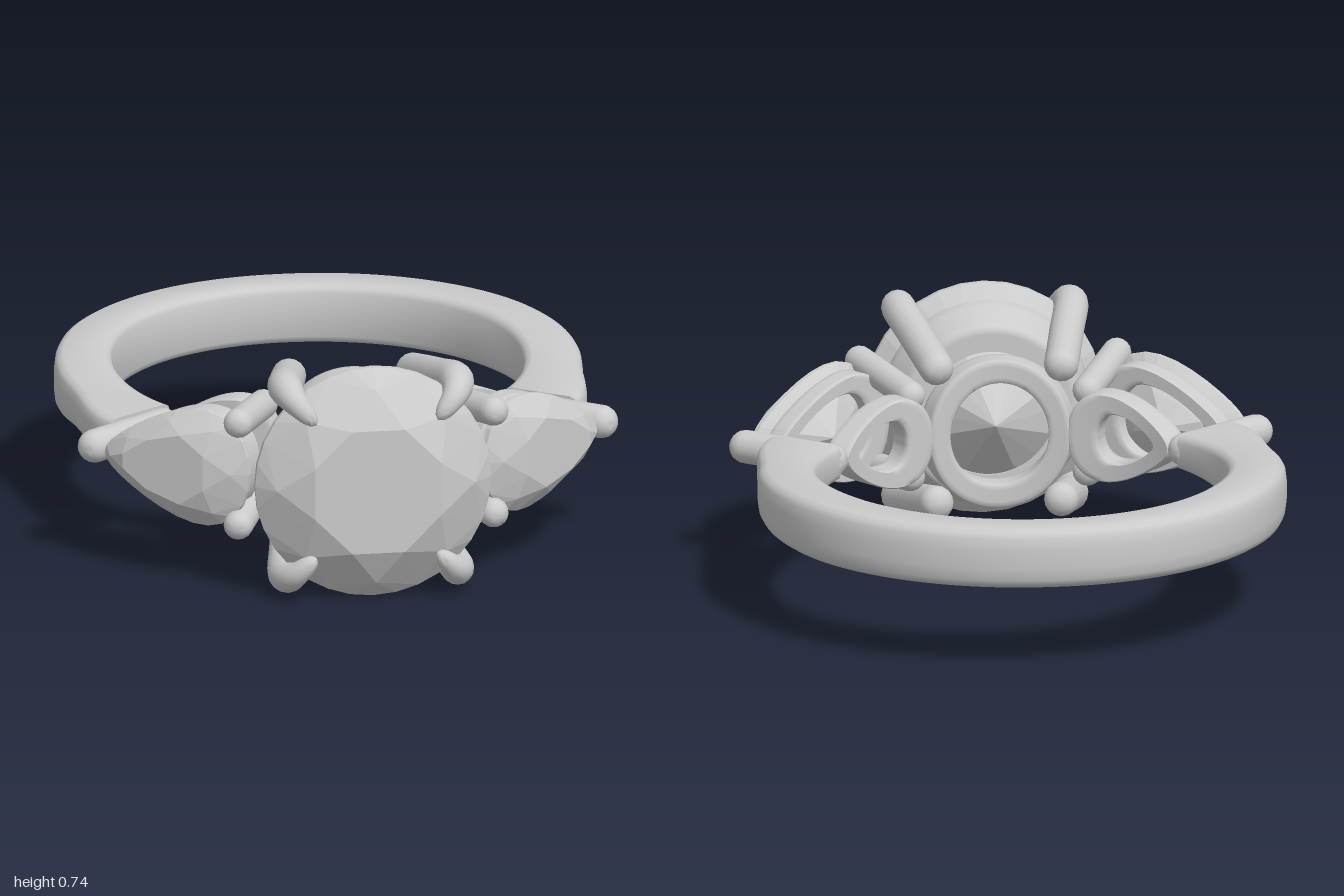
import * as THREE from 'three';
import { toCreasedNormals } from 'three/addons/utils/BufferGeometryUtils.js';
import { ConvexGeometry } from 'three/addons/geometries/ConvexGeometry.js';

const MID_Y = 0.375, FINGER_Z = -0.197, INNER_R = 0.638;
const metal = new THREE.MeshStandardMaterial({ color: 0xcccccc });
const gem = new THREE.MeshStandardMaterial({ color: 0xcccccc, flatShading: true });
const rad = THREE.MathUtils.degToRad;
const smooth = THREE.MathUtils.smoothstep;

function add(parent, name, geometry, material = metal) {
  const mesh = new THREE.Mesh(geometry, material);
  mesh.name = name;
  parent.add(mesh);
  return mesh;
}

// Skin over a list of equal cross-sections, either joined in a loop or capped
function loft(rows, loop) {
  const n = rows[0].length, m = rows.length, index = [];
  for (let i = 0; i < (loop ? m : m - 1); i++) {
    for (let j = 0; j < n; j++) {
      const i2 = (i + 1) % m, j2 = (j + 1) % n;
      const a = i * n + j, b = i2 * n + j, c = i2 * n + j2, d = i * n + j2;
      index.push(a, b, c, a, c, d);
    }
  }
  if (!loop) {
    const e = (m - 1) * n;
    for (let k = 1; k < n - 1; k++) index.push(0, k, k + 1, e, e + k + 1, e + k);
  }
  const g = new THREE.BufferGeometry();
  g.setAttribute('position', new THREE.Float32BufferAttribute(rows.flat(2), 3));
  g.setIndex(index);
  return toCreasedNormals(g, rad(50));
}

// Outlines of the round and the pear-shaped stone
const round = t => [0.37 * Math.cos(t), 0.37 * Math.sin(t)];
const pear = t => [0.255 * Math.cos(t) - 0.045, 0.172 * Math.sin(t) * (1 - 0.45 * Math.cos(t))];

// Faceted stone: the hull of scaled outline rings [scale, height, count, phase]
function stone(outline, rings) {
  const points = [];
  for (const [s, h, n, phase] of rings) {
    for (let i = 0; i < n; i++) {
      const [x, y] = outline((i + phase) / n * Math.PI * 2);
      points.push(new THREE.Vector3(x * s, y * s, h));
    }
  }
  return new ConvexGeometry(points);
}

// Bevelled rail following an outline; bend wraps it around the finger hole
function rail(outline, section, bend = false) {
  const profile = [];
  section.forEach((p, i) => {
    const prev = section[(i + 3) % 4], next = section[(i + 1) % 4];
    for (const [q, k] of [[prev, 0.25], [prev, 0.07], [next, 0.07], [next, 0.25]]) {
      profile.push([p[0] + (q[0] - p[0]) * k, p[1] + (q[1] - p[1]) * k]);
    }
  });
  const rows = [];
  for (let i = 0; i < 72; i++) {
    const [ox, oy] = outline(i / 72 * Math.PI * 2);
    rows.push(profile.map(([s, h]) => {
      const a = ox * s / 0.68;
      return bend ? [h * Math.sin(a), oy * s, h * Math.cos(a)] : [ox * s, oy * s, h];
    }));
  }
  return loft(rows, true);
}
const box = (inner, outer, low, high) => [[outer, low], [outer, high], [inner, high], [inner, low]];

// Round wire with domed ends and an optional taper towards its tip
function prong(points, radius, taper = 0) {
  const path = new THREE.CatmullRomCurve3(points.map(p => new THREE.Vector3(...p)));
  const g = new THREE.TubeGeometry(path, 60, radius, 16);
  const pos = g.attributes.position, uv = g.attributes.uv, v = new THREE.Vector3();
  const length = path.getLength();
  for (let i = 0; i < pos.count; i++) {
    const u = uv.getX(i);
    const d = Math.min(1, Math.min(u, 1 - u) * length / radius);
    const dome = Math.sqrt(1 - (1 - d) ** 2);
    const k = dome * (1 - taper * smooth(u, 0.7, 1));
    const c = path.getPointAt(u);
    v.fromBufferAttribute(pos, i).sub(c).multiplyScalar(k).add(c);
    pos.setXYZ(i, v.x, v.y, v.z);
  }
  return toCreasedNormals(g, rad(60));
}

// Shank: open band, thicker and lower towards the shoulders
function shank() {
  const rows = [];
  for (let i = 0; i <= 96; i++) {
    const deg = -215 + i / 96 * 250, a = rad(deg), b = Math.abs(deg + 90);
    const outer = 0.803 + 0.017 * Math.min(1, b / 90) + 0.075 * smooth(b, 100, 126);
    const half = 0.094 - 0.037 * smooth(outer * Math.sin(a) + FINGER_Z, -0.65, 0.4);
    const depth = outer - INNER_R, c = 0.025;
    const side = [[depth, 0.3], [depth - 0.004, 0.7], [depth - 0.012, 0.88], [depth - 0.03, 1],
      [c, 1], [c * 0.3, 1 - 0.3 * c / half], [0, 1 - c / half]];
    const section = [...side, ...side.slice().reverse().map(([r, y]) => [r, -y])].reverse();
    rows.push(section.reverse().map(([r, y]) => [
      (INNER_R + r) * Math.cos(a), y * half, (INNER_R + r) * Math.sin(a)]));
  }
  // run the section downwards on the outer face
  return loft(rows.map(r => r.slice().reverse()), false);
}

export function createModel() {
  const model = new THREE.Group();
  model.name = 'threeStoneRing';

  const band = add(model, 'shank', shank());
  band.position.set(0, MID_Y, FINGER_Z);

  // Centre setting
  const centre = new THREE.Group();
  centre.name = 'centreSetting';
  centre.position.y = MID_Y;
  model.add(centre);
  add(centre, 'centreStone', stone(round, [
    [0.58, 1.0, 8, 0.5], [0.84, 0.945, 8, 0], [1, 0.885, 32, 0], [1, 0.865, 32, 0],
    [0.5, 0.688, 8, 0.5], [0, 0.53, 1, 0]]), gem);
  add(centre, 'centreSeat', rail(round, [[0.74, 0.68], [0.89, 0.82], [0.72, 0.82], [0.52, 0.68]]));
  add(centre, 'centreBaseRail', rail(round, box(0.44, 0.64, 0.638, 0.722), true)).position.z = FINGER_Z;
  for (const sx of [-1, 1]) for (const sy of [-1, 1]) {
    add(centre, 'centreProng', prong([
      [0.185, 0.205, 0.4], [0.235, 0.265, 0.66], [0.268, 0.302, 0.85],
      [0.25, 0.28, 0.925], [0.19, 0.215, 0.965]].map(([x, y, z]) => [x * sx, y * sy, z]), 0.054, 0.5));
  }

  // Side settings, turned outwards around the finger hole; the pear points away from the centre
  for (const side of [-1, 1]) {
    const setting = new THREE.Group();
    setting.name = side > 0 ? 'leftSetting' : 'rightSetting';
    setting.position.set(0, MID_Y, FINGER_Z);
    setting.rotation.set(0, side * rad(38), side > 0 ? 0 : Math.PI);
    model.add(setting);
    add(setting, 'sideStone', stone(pear, [
      [0.6, 1.045, 8, 0.5], [0.83, 1.018, 8, 0], [1, 0.985, 28, 0], [1, 0.97, 28, 0],
      [0.5, 0.888, 8, 0.5], [0, 0.83, 1, 0]]), gem);
    add(setting, 'sideSeat', rail(pear, box(0.62, 0.92, 0.865, 0.935)));
    add(setting, 'sideBaseRail', rail(pear, box(0.42, 0.76, 0.638, 0.722), true));
    const ray = (deg, r, y) => [r * Math.sin(rad(deg)), y, r * Math.cos(rad(deg))];
    add(setting, 'tipProng', prong([ray(16, 0.63, 0), ray(15.5, 1.04, 0)], 0.052));
    for (const s of [-1, 1]) {
      add(setting, 'sideProng', prong([ray(-15, 0.66, 0.125 * s), ray(-15, 1.07, 0.17 * s)], 0.046));
    }
  }
  return model;
}
